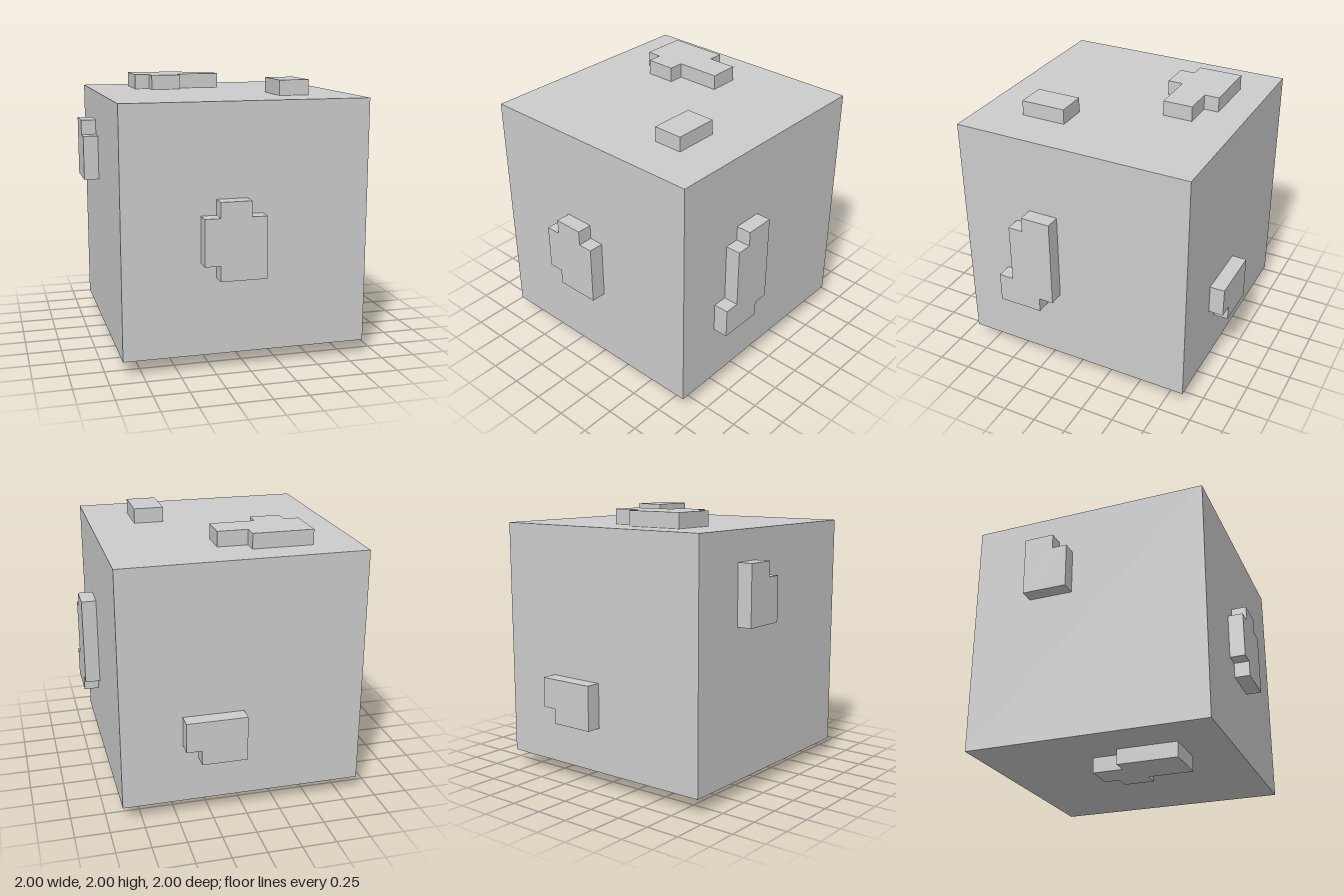
import * as THREE from 'three';

const U = 1 / 9; // grid unit: the cube is 16 units wide, each plate 1 unit thick
const Q = Math.PI / 2;

// Plate outlines in face coordinates (units from the face centre),
// with the rotation that turns a front-facing plate onto its face.
const plates = [
  { name: 'frontPlate', rot: [0, 0, 0],
    pts: [[-2, 2], [0, 2], [0, 1], [1, 1], [1, -3], [-2, -3], [-2, -2], [-3, -2], [-3, 1], [-2, 1]] },
  { name: 'leftSidePlate', rot: [0, Q, 0],
    pts: [[-1, 3], [-3, 3], [-3, 2], [-4, 2], [-4, -2], [-5, -2], [-5, -4], [-2, -4], [-2, -3], [-1, -3]] },
  { name: 'backPlate', rot: [0, 2 * Q, 0],
    pts: [[0, -2], [-4, -2], [-4, -4], [-3, -4], [-3, -5], [0, -5]] },
  { name: 'rightSidePlate', rot: [0, -Q, 0],
    pts: [[-4, 6], [-2, 6], [-2, 5], [-1, 5], [-1, 2], [-4, 2]] },
  { name: 'topPlateLarge', rot: [-Q, 0, 0],
    pts: [[-5, 6], [-1, 6], [-1, 5], [1, 5], [1, 3], [-2, 3], [-2, 2], [-4, 2], [-4, 3], [-5, 3]] },
  { name: 'topPlateSmall', rot: [-Q, 0, 0],
    pts: [[3, -2], [5, -2], [5, -5], [3, -5]] },
  { name: 'bottomPlate', rot: [Q, 0, 0],
    pts: [[-5, 5], [-2, 5], [-2, 2], [-1, 2], [-1, 0], [-2, 0], [-2, -1], [-4, -1], [-4, 1], [-5, 1]] },
];

export function createModel() {
  const group = new THREE.Group();
  group.name = 'studdedCube';
  const material = new THREE.MeshStandardMaterial({ color: 0xcccccc, flatShading: true });

  const add = (name, geometry, rot = [0, 0, 0]) => {
    const mesh = new THREE.Mesh(geometry, material);
    mesh.name = name;
    mesh.rotation.set(...rot);
    mesh.position.y = 1;
    group.add(mesh);
  };

  // Main body
  add('cubeBody', new THREE.BoxGeometry(16 * U, 16 * U, 16 * U));

  // Raised stepped plates on every face
  for (const { name, rot, pts } of plates) {
    const shape = new THREE.Shape(pts.map(([x, y]) => new THREE.Vector2(x * U, y * U)));
    const geometry = new THREE.ExtrudeGeometry(shape, { depth: U, bevelEnabled: false });
    geometry.translate(0, 0, 8 * U);
    add(name, geometry, rot);
  }
  return group;
}
